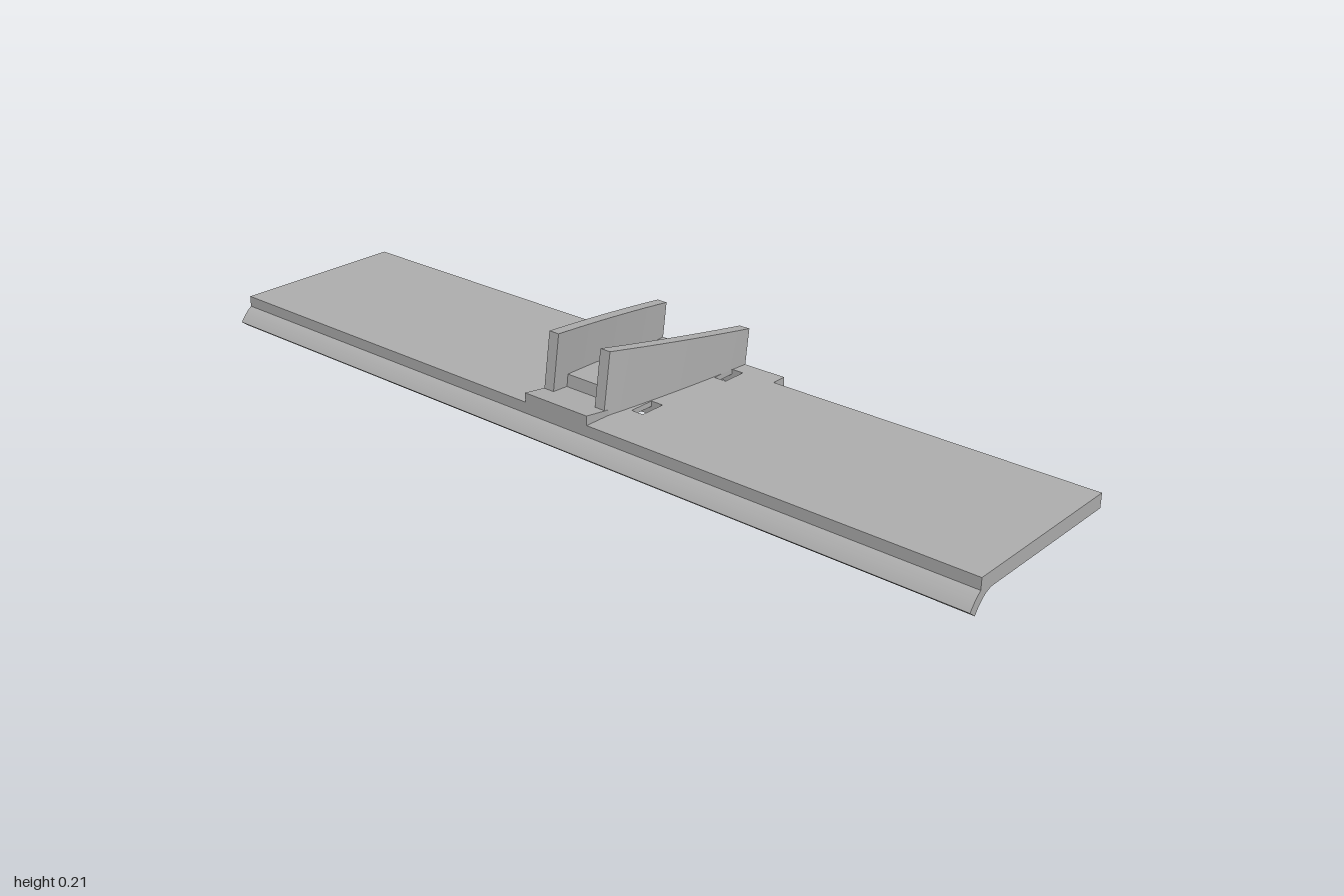
import * as THREE from 'three';

export function createModel() {
  const root = new THREE.Group();
  const grey = new THREE.MeshStandardMaterial({ color: 0xb0b0b0 });
  grey.name = 'grey';

  const add = (name, geometry) => {
    const mesh = new THREE.Mesh(geometry, grey);
    mesh.name = name;
    root.add(mesh);
  };
  const polygon = (points) => new THREE.Shape(points.map(([x, y]) => new THREE.Vector2(x, y)));
  // Side profile in x and y, extruded symmetrically along z
  const alongZ = (shape, width) =>
    new THREE.ExtrudeGeometry(shape, { depth: width, bevelEnabled: false, curveSegments: 12 })
      .translate(0, 0, -width / 2);

  // Flat plate with a tab on one long edge and two cross slots
  const top = 0.072, bottom = 0.04;
  const outline = polygon([
    [-0.18, -1], [0.2, -1], [0.2, -0.235], [0.237, -0.235],
    [0.237, 0.235], [0.2, 0.235], [0.2, 1], [-0.18, 1],
  ]);
  const slots = [
    { x0: -0.105, x1: -0.043, half: 0.135 },
    { x0: 0.138, x1: 0.2 - 0.003, half: 0.155 },
  ];
  for (const { x0, x1, half } of slots) {
    outline.holes.push(new THREE.Path(
      [[x0, -half], [x0, half], [x1, half], [x1, -half]].map(([x, y]) => new THREE.Vector2(x, y))));
  }
  const plate = new THREE.ExtrudeGeometry(outline, { depth: top - bottom, bevelEnabled: false });
  add('plate', plate.rotateX(Math.PI / 2).translate(0, top, 0));

  // Edge strip with a lip that curls down
  const lip = new THREE.Shape();
  lip.moveTo(-0.18, top);
  lip.lineTo(-0.22, top);
  lip.lineTo(-0.22, 0.047);
  lip.quadraticCurveTo(-0.237, 0.035, -0.25, 0.015);
  lip.lineTo(-0.233, 0.002);
  lip.quadraticCurveTo(-0.21, 0.038, -0.18, bottom);
  lip.closePath();
  add('curledLip', alongZ(lip, 2));

  // Straps closing the slots between the fins
  for (const { x0, x1, half } of slots) {
    const strap = new THREE.BoxGeometry(x1 - x0, 0.012, 2 * (half - 0.03));
    add('slotStrap', strap.translate((x0 + x1) / 2, top - 0.006, 0));
  }

  // Low sloping foot and the raised block between the fins
  add('foot', alongZ(polygon([[-0.22, top], [-0.117, top], [-0.117, 0.079], [-0.22, 0.093]]), 0.172));
  add('centreBlock', alongZ(polygon([[-0.117, top], [-0.008, top], [-0.003, 0.096], [-0.113, 0.106]]), 0.17));

  // Upright fins, bowed in plan and spreading apart
  for (const side of [1, -1]) {
    const fin = new THREE.BoxGeometry(1, 1, 1, 12, 1, 1);
    const p = fin.attributes.position;
    for (let i = 0; i < p.count; i++) {
      const u = p.getX(i) + 0.5, v = p.getY(i) + 0.5;
      const lerp = THREE.MathUtils.lerp;
      const x = lerp(lerp(-0.167, -0.147, v), lerp(0.237, 0.248, v), u);
      const y = lerp(top, lerp(0.209, 0.152, u), v);
      const z = side * (0.071 + 0.066 * u - 0.02 * u * u) + p.getZ(i) * 0.026;
      p.setXYZ(i, x, y, z);
    }
    fin.computeVertexNormals();
    add(side > 0 ? 'frontFin' : 'backFin', fin);
  }
  return root;
}
